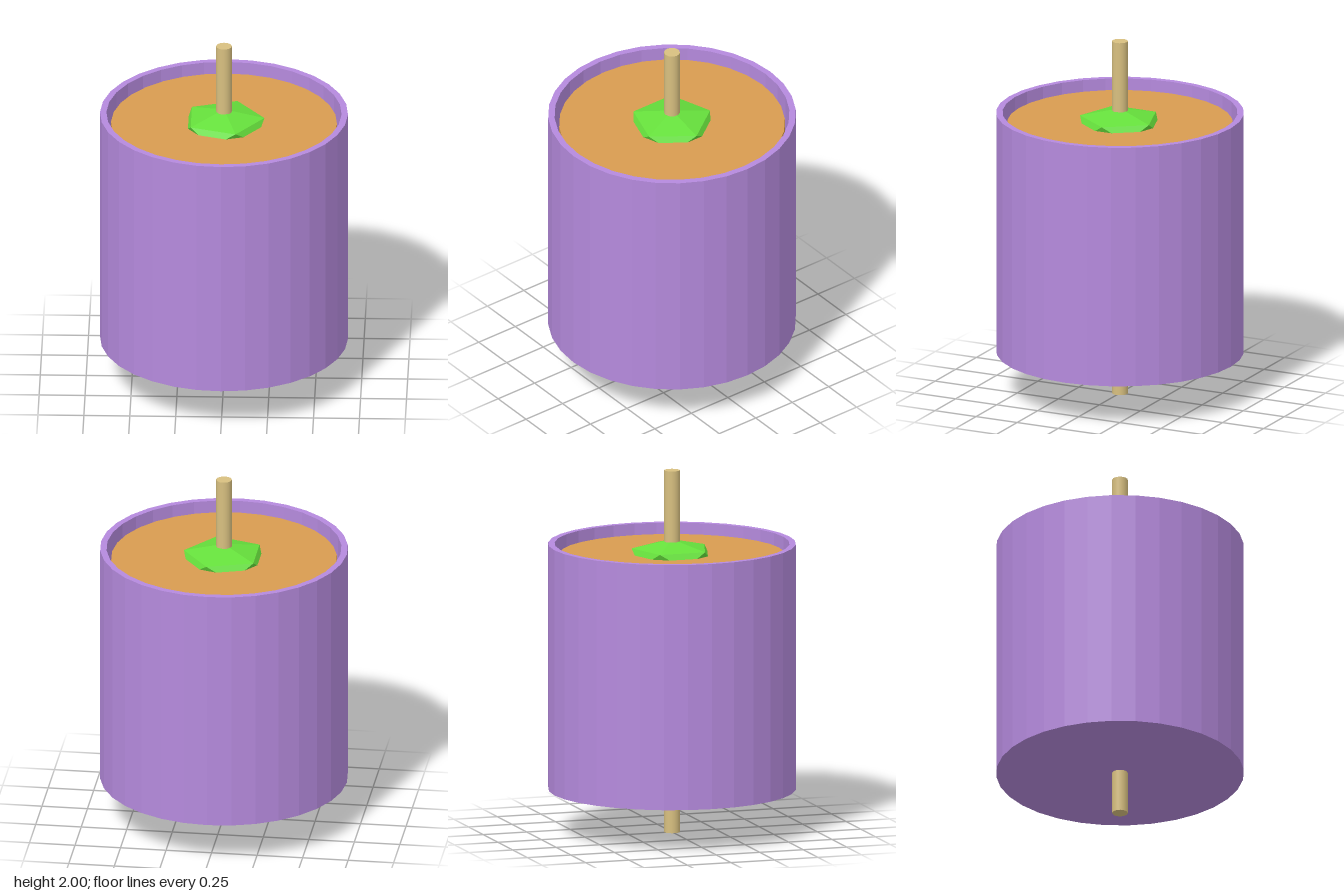
import * as THREE from 'three';

function part(name, geometry, color, y = 0) {
  const mesh = new THREE.Mesh(geometry, new THREE.MeshStandardMaterial({ color, flatShading: true }));
  mesh.name = name;
  mesh.position.y = y;
  return mesh;
}

// Squashed icosahedron standing on a corner, with one upper corner towards +x
function lumpGeometry(radius, height) {
  const ring = (y, turn) => Array.from({ length: 5 }, (_, i) => {
    const a = (i + turn) * Math.PI * 0.4;
    return [radius * Math.cos(a), y, radius * Math.sin(a)];
  });
  const points = [[0, height, 0], ...ring(0.447 * height, 0), ...ring(-0.447 * height, 0.5), [0, -height, 0]];
  const index = [];
  for (let i = 0; i < 5; i++) {
    const n = (i + 1) % 5;
    const u = 1 + i, un = 1 + n, l = 6 + i, ln = 6 + n;
    index.push(0, un, u, u, un, l, un, ln, l, 11, l, ln);
  }
  const g = new THREE.BufferGeometry();
  g.setAttribute('position', new THREE.Float32BufferAttribute(points.flat(), 3));
  g.setIndex(index);
  const flat = g.toNonIndexed();
  flat.computeVertexNormals();
  return flat;
}

export function createModel() {
  const group = new THREE.Group();
  const bottom = 0.24, rim = 1.595, floor = 0.275, fillTop = 1.537;

  // Open cup: outer wall, rim, inner wall and floor
  const profile = [[0, bottom], [0.675, bottom], [0.675, rim], [0.64, rim], [0.64, floor], [0, floor]]
    .map(([r, y]) => new THREE.Vector2(r, y));
  group.add(part('cup', new THREE.LatheGeometry(profile, 32), 0xb58add));

  // Filling, a little narrower than the cup
  const fillHeight = fillTop - floor;
  group.add(part('filling', new THREE.CylinderGeometry(0.615, 0.615, fillHeight, 32), 0xd89c50, floor + fillHeight / 2));

  // Faceted lump half sunk in the filling
  group.add(part('lump', lumpGeometry(0.22, 0.09), 0x66e03c, 1.528));

  // Rod running through everything
  const rod = part('rod', new THREE.CylinderGeometry(0.043, 0.043, 2, 16), 0xd8c080, 1);
  rod.material.flatShading = false;
  group.add(rod);

  return group;
}
